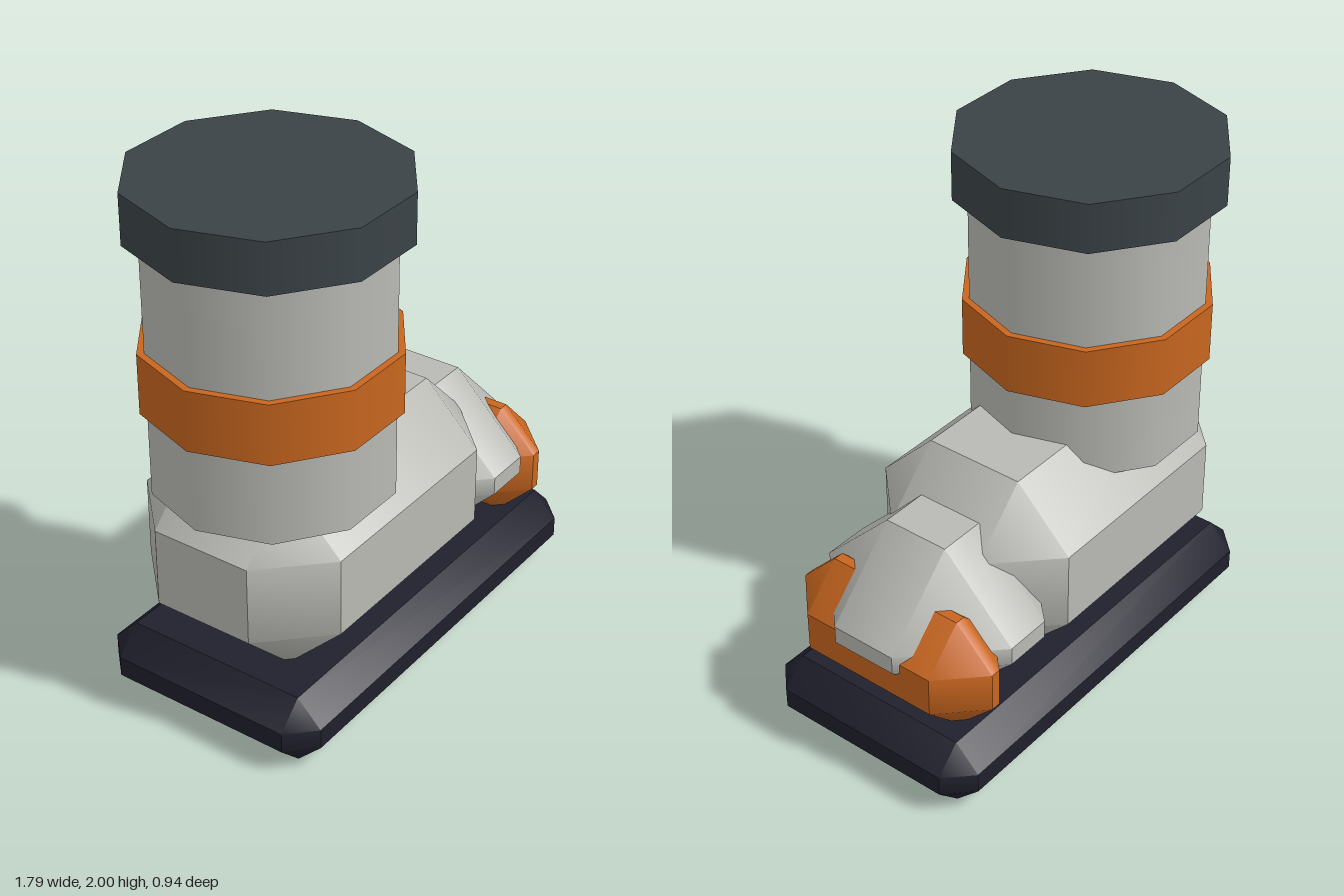
import * as THREE from 'three';
import { toCreasedNormals } from 'three/addons/utils/BufferGeometryUtils.js';

// Box with every edge cut by one straight chamfer c; bevels blend at the corners.
function chamferBox(min, max, c) {
  const lo = new THREE.Vector3(...min), hi = new THREE.Vector3(...max);
  const mid = lo.clone().add(hi).multiplyScalar(0.5);
  const half = hi.clone().sub(lo).multiplyScalar(0.5);
  // Corner s (three signs), on the face of the given axis
  const point = (axis, s) => {
    const p = new THREE.Vector3();
    for (let i = 0; i < 3; i++) {
      p.setComponent(i, s[i] * (half.getComponent(i) - (i === axis ? 0 : c)));
    }
    return p;
  };
  const positions = [];
  const tri = (a, b, d) => {
    const n = b.clone().sub(a).cross(d.clone().sub(a));
    const outward = n.dot(a.clone().add(b).add(d)) > 0;
    for (const p of outward ? [a, b, d] : [a, d, b]) {
      positions.push(p.x + mid.x, p.y + mid.y, p.z + mid.z);
    }
  };
  const quad = (a, b, d, e) => { tri(a, b, d); tri(a, d, e); };
  const signs = (a, sa, b, sb, k, sk) => {
    const s = [];
    s[a] = sa; s[b] = sb; s[k] = sk;
    return s;
  };

  for (let a = 0; a < 3; a++) {
    const b = (a + 1) % 3, k = (a + 2) % 3;
    for (const sa of [-1, 1]) {
      // Flat face
      quad(...[[-1, -1], [1, -1], [1, 1], [-1, 1]].map(([u, v]) => point(a, signs(a, sa, b, u, k, v))));
      // Bevels between faces a and b
      for (const sb of [-1, 1]) {
        const s0 = signs(a, sa, b, sb, k, -1), s1 = signs(a, sa, b, sb, k, 1);
        quad(point(a, s0), point(a, s1), point(b, s1), point(b, s0));
      }
    }
  }
  // Corner triangles
  for (const x of [-1, 1]) for (const y of [-1, 1]) for (const z of [-1, 1]) {
    const s = [x, y, z];
    tri(point(0, s), point(1, s), point(2, s));
  }
  const geometry = new THREE.BufferGeometry();
  geometry.setAttribute('position', new THREE.Float32BufferAttribute(positions, 3));
  return toCreasedNormals(geometry, THREE.MathUtils.degToRad(40));
}

// Ten-sided upright drum with a corner pointing along x
function drum(radius, y0, y1) {
  return new THREE.CylinderGeometry(radius, radius, y1 - y0, 10)
    .rotateY(Math.PI / 2)
    .translate(-0.403, (y0 + y1) / 2, 0);
}

function material(name, color) {
  const m = new THREE.MeshStandardMaterial({ color });
  m.name = name;
  return m;
}

export function createModel() {
  const group = new THREE.Group();
  group.name = 'boot';
  const grey = material('light grey', 0xb9bab4);
  const orange = material('orange', 0xc8661f);
  const slate = material('dark slate', 0x3b4347);
  const navy = material('dark navy', 0x20202d);

  const add = (name, geometry, mat) => {
    const mesh = new THREE.Mesh(geometry, mat);
    mesh.name = name;
    group.add(mesh);
  };

  // Foot
  add('sole', chamferBox([-0.86, 0, -0.455], [0.89, 0.27, 0.455], 0.096), navy);
  add('footBody', chamferBox([-0.82, 0.24, -0.42], [0.47, 0.99, 0.42], 0.224), grey);
  add('toe', chamferBox([0.09, 0.21, -0.42], [0.853, 0.86, 0.42], 0.29), grey);
  add('toeCap', chamferBox([0.49, 0.23, -0.43], [0.835, 0.69, 0.43], 0.153), orange);

  // Shaft
  add('shaft', drum(0.437, 0.86, 1.85), grey);
  add('shaftBand', drum(0.463, 1.185, 1.413), orange);
  add('topCollar', drum(0.492, 1.815, 2), slate);

  return group;
}
